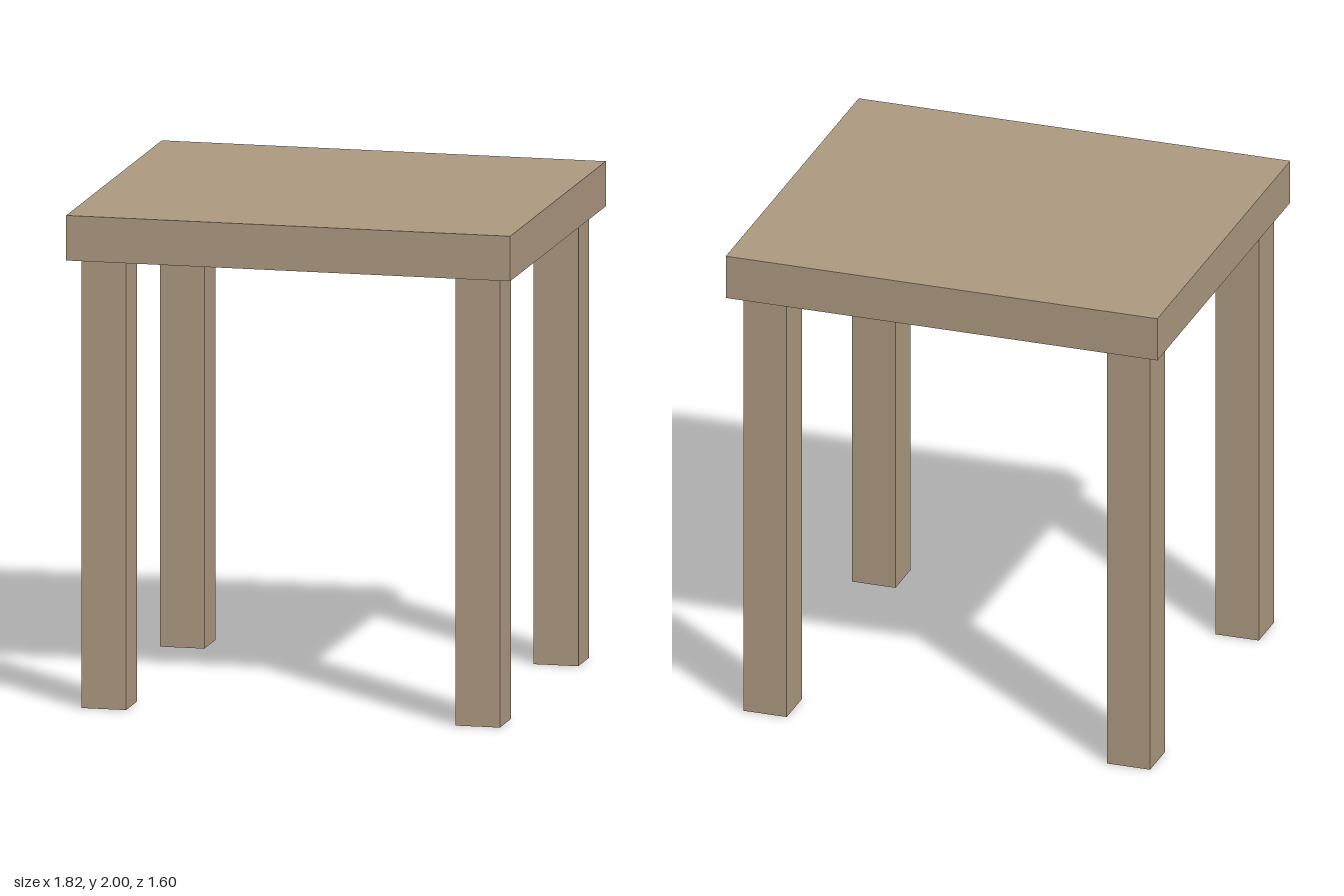
import * as THREE from 'three';

const TOP = { width: 1.815, height: 0.182, depth: 1.6 };
const LEG = { size: 0.182, height: 2 - TOP.height };

export function createModel() {
  const group = new THREE.Group();
  group.name = 'table';
  const wood = new THREE.MeshStandardMaterial({ color: 0xab9880 });

  const addBox = (name, w, h, d, x, y, z) => {
    const mesh = new THREE.Mesh(new THREE.BoxGeometry(w, h, d), wood);
    mesh.name = name;
    mesh.position.set(x, y, z);
    group.add(mesh);
  };

  // Thick slab top
  addBox('tableTop', TOP.width, TOP.height, TOP.depth, 0, 2 - TOP.height / 2, 0);

  // Four square legs, set in slightly from the edges
  for (const [side, x] of [['Left', 0.762], ['Right', -0.766]]) {
    for (const [end, z] of [['front', 0.657], ['back', -0.652]]) {
      addBox(`${end}${side}Leg`, LEG.size, LEG.height, LEG.size, x, LEG.height / 2, z);
    }
  }

  return group;
}
